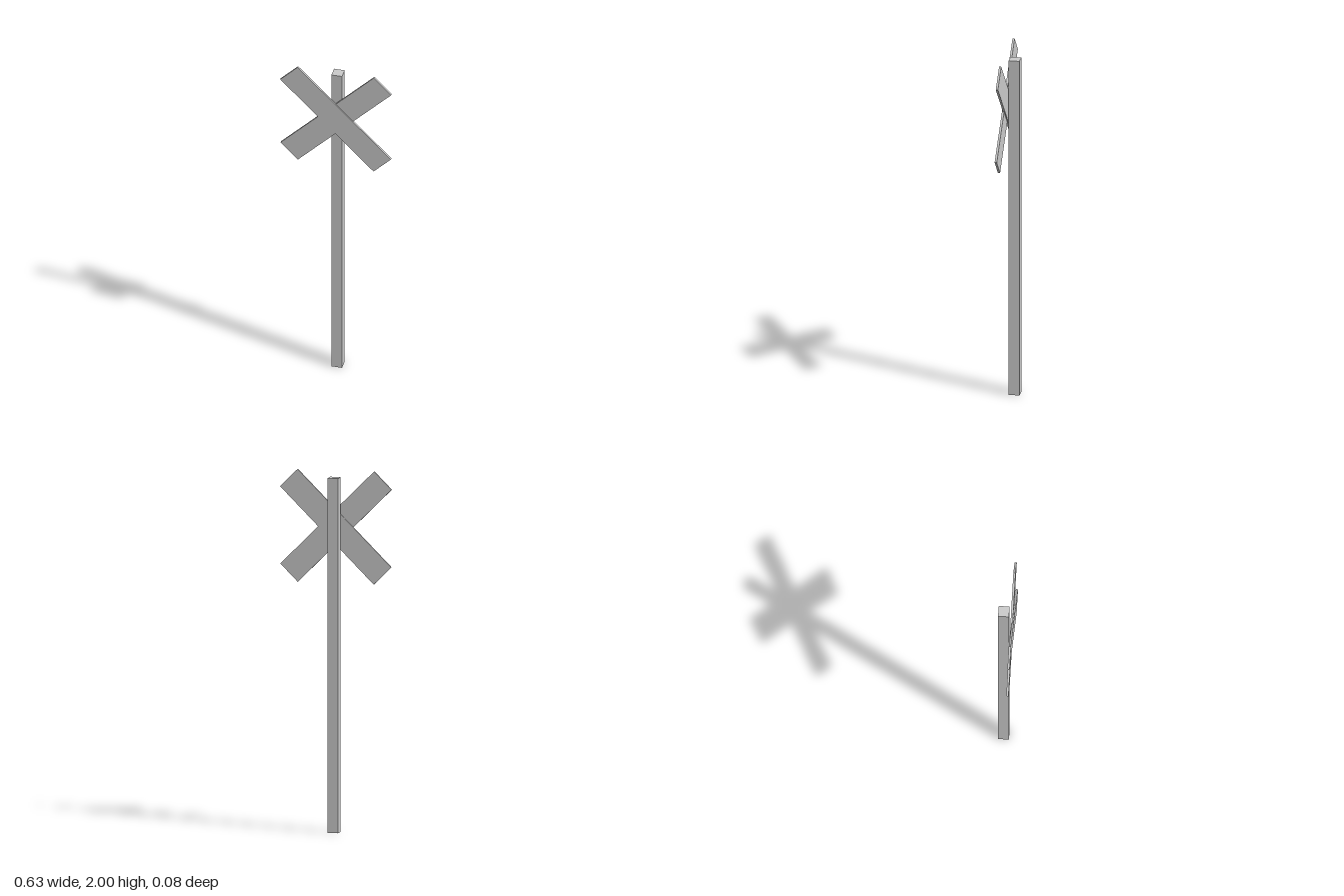
import * as THREE from 'three';

export function createModel() {
  const model = new THREE.Group();
  model.name = 'crossingSign';
  const material = new THREE.MeshStandardMaterial({ color: 0xcccccc, flatShading: true });

  const addBox = (name, size, position, tilt = 0) => {
    const mesh = new THREE.Mesh(new THREE.BoxGeometry(...size), material);
    mesh.name = name;
    mesh.position.set(...position);
    mesh.rotation.z = tilt;
    model.add(mesh);
  };

  // Square upright post
  const postHeight = 1.965;
  addBox('post', [0.06, postHeight, 0.06], [0, postHeight / 2, -0.0125]);

  // Two crossed boards, half lapped into each other just ahead of the post
  const board = [0.746, 0.139, 0.012];
  const crossY = 1.687;
  addBox('frontBoard', board, [0, crossY, 0.0362], -Math.PI / 4);
  addBox('backBoard', board, [0, crossY, 0.0298], Math.PI / 4);

  return model;
}
